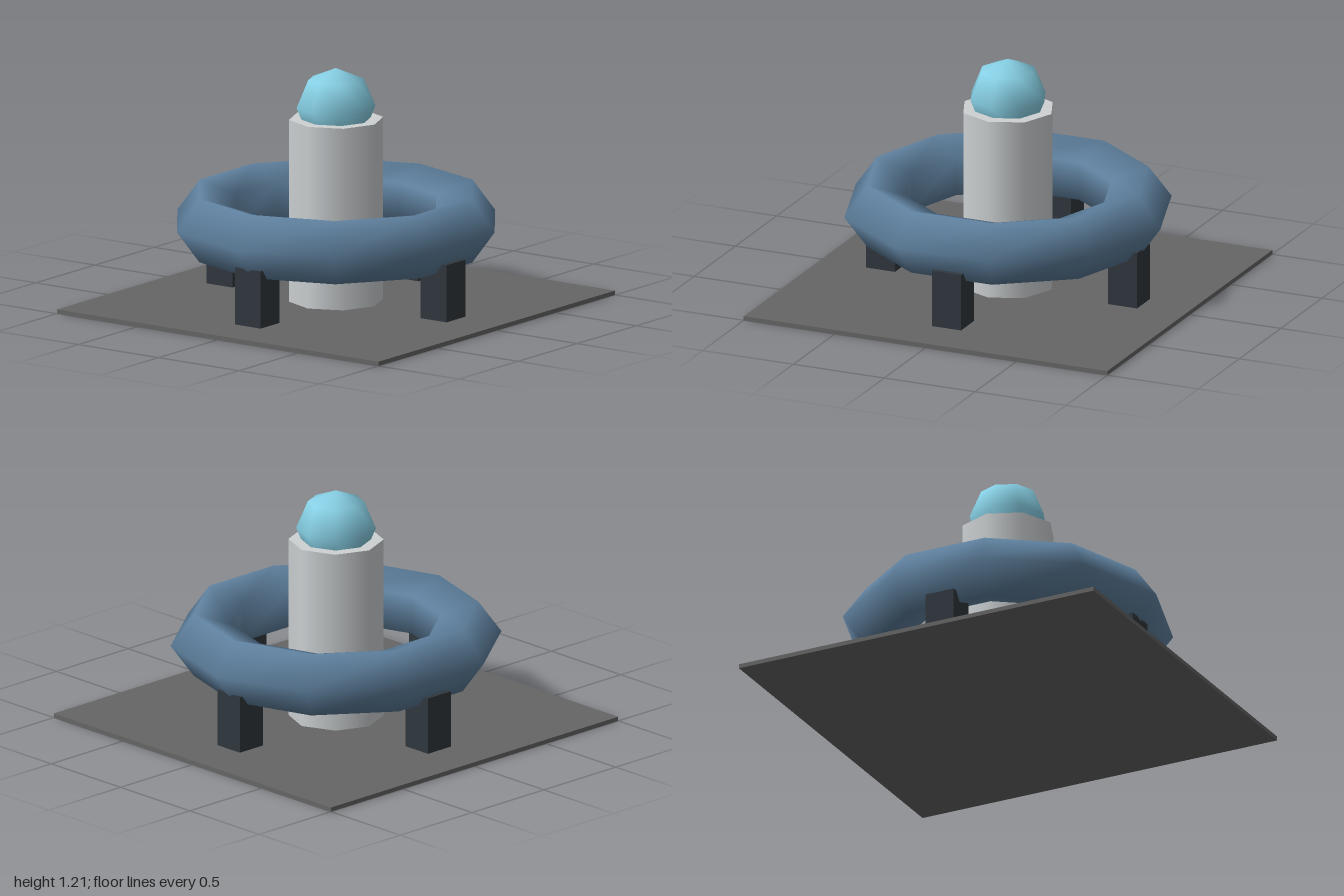
import * as THREE from 'three';

const paint = (name, color) => {
  const m = new THREE.MeshStandardMaterial({ color });
  m.name = name;
  return m;
};

export function createModel() {
  const model = new THREE.Group();
  model.name = 'ringTower';

  const floorGrey = paint('floorGrey', 0x666666);
  const steelBlue = paint('steelBlue', 0x5f819f);
  const paleGrey = paint('paleGrey', 0xcdd1d3);
  const skyBlue = paint('skyBlue', 0x87d0e5);
  const charcoal = paint('charcoal', 0x30383e);

  const add = (name, geometry, material, x, y, z) => {
    const mesh = new THREE.Mesh(geometry, material);
    mesh.name = name;
    mesh.position.set(x, y, z);
    model.add(mesh);
    return mesh;
  };

  const floor = 0.022;

  // Thin square base
  add('basePlate', new THREE.BoxGeometry(2, floor, 2), floorGrey, 0, floor / 2, 0);

  // Eight-sided central column with a faceted dome ball on top
  const columnTop = 0.955;
  add('column', new THREE.CylinderGeometry(0.239, 0.239, columnTop - floor, 8), paleGrey,
    0, (columnTop + floor) / 2, 0);
  add('ball', new THREE.SphereGeometry(0.2, 8, 4), skyBlue, 0, 1.014, 0);

  // Ten-sided ring with a pentagonal section
  const ringRadius = 0.666;
  add('ring', new THREE.TorusGeometry(ringRadius, 0.171, 5, 10), steelBlue, 0, 0.428, 0)
    .rotation.x = Math.PI / 2;

  // Four legs under the ring
  const legTop = 0.315;
  const legGeometry = new THREE.BoxGeometry(0.16, legTop - floor, 0.16);
  const legs = { leftLeg: [1, 0], rightLeg: [-1, 0], frontLeg: [0, 1], backLeg: [0, -1] };
  for (const [name, [x, z]] of Object.entries(legs)) {
    add(name, legGeometry, charcoal, x * ringRadius, (legTop + floor) / 2, z * ringRadius);
  }

  return model;
}
